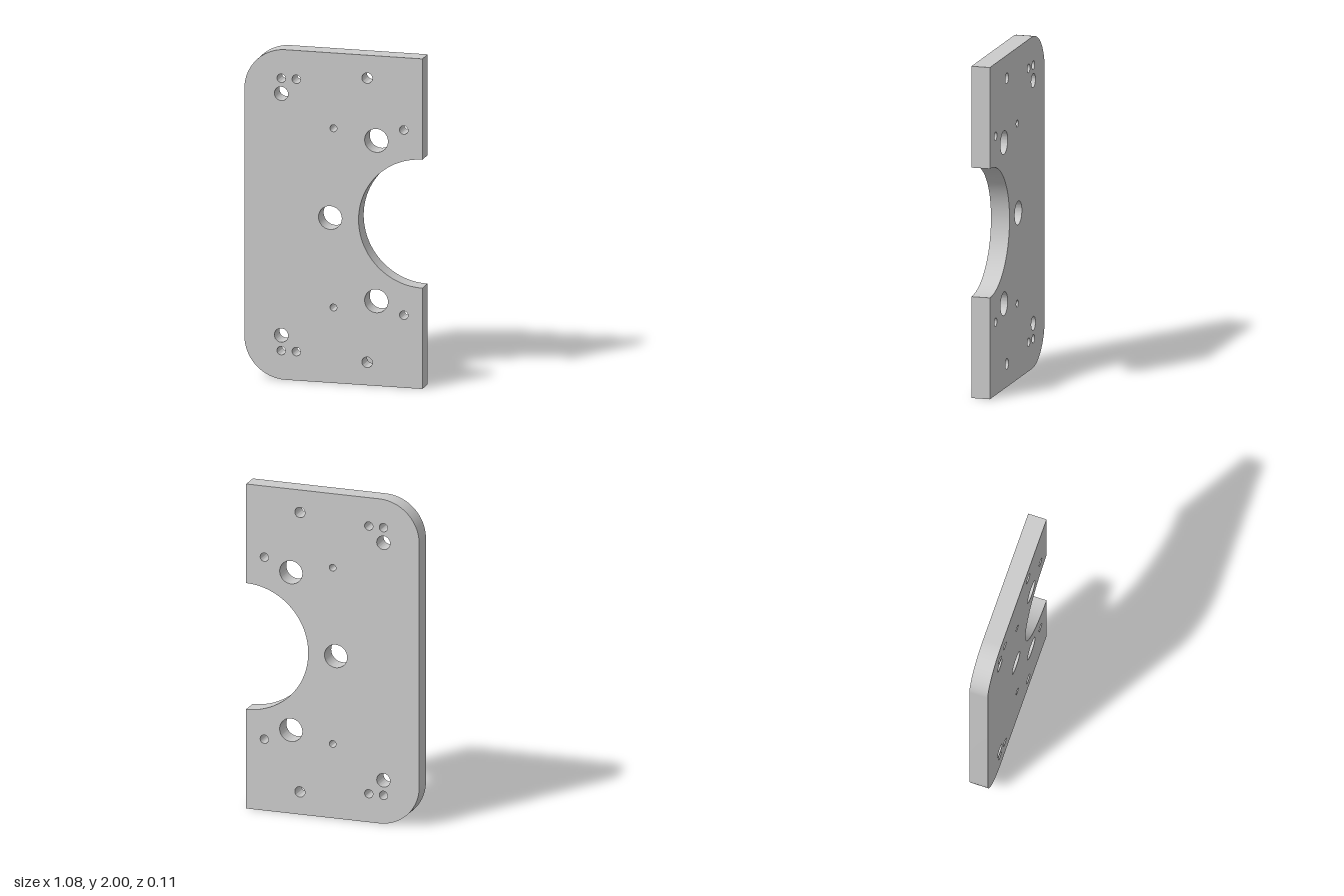
import * as THREE from 'three';
import { toCreasedNormals } from 'three/addons/utils/BufferGeometryUtils.js';

const HALF_W = 0.542, HEIGHT = 2, DEPTH = 0.114, CORNER = 0.25, NOTCH = 0.389;

// Holes of the upper half, [x, height above the centre line, radius]
const HOLES = [
  [-0.318, 0.825, 0.026],
  [-0.226, 0.825, 0.026],
  [-0.318, 0.732, 0.042],
  [0.205, 0.861, 0.032],
  [0, 0.543, 0.021],
  [0.428, 0.561, 0.026],
  [0.261, 0.486, 0.071],
];

function circle(x, y, r) {
  return new THREE.Path().absarc(x, y, r, 0, Math.PI * 2, true);
}

export function createModel() {
  const group = new THREE.Group();
  group.name = 'mountingPlate';

  // Outline: two rounded corners on one side, half-round notch on the other
  const mid = HEIGHT / 2;
  const outline = new THREE.Shape();
  outline.moveTo(HALF_W, 0);
  outline.lineTo(HALF_W, mid - NOTCH);
  outline.absarc(HALF_W, mid, NOTCH, Math.PI * 1.5, Math.PI * 0.5, true);
  outline.lineTo(HALF_W, HEIGHT);
  outline.lineTo(-HALF_W + CORNER, HEIGHT);
  outline.absarc(-HALF_W + CORNER, HEIGHT - CORNER, CORNER, Math.PI * 0.5, Math.PI, false);
  outline.lineTo(-HALF_W, CORNER);
  outline.absarc(-HALF_W + CORNER, CORNER, CORNER, Math.PI, Math.PI * 1.5, false);
  outline.closePath();

  // Drilled holes, mirrored about the centre line
  outline.holes.push(circle(-0.02, mid, 0.071));
  for (const [x, dy, r] of HOLES) {
    for (const side of [1, -1]) outline.holes.push(circle(x, mid + side * dy, r));
  }

  const solid = new THREE.ExtrudeGeometry(outline, {
    depth: DEPTH, bevelEnabled: false, curveSegments: 32,
  });
  solid.translate(0, 0, -DEPTH / 2);

  const plate = new THREE.Mesh(
    toCreasedNormals(solid, Math.PI / 6),
    new THREE.MeshStandardMaterial({ color: 0xcccccc }),
  );
  plate.name = 'plate';
  group.add(plate);
  return group;
}
